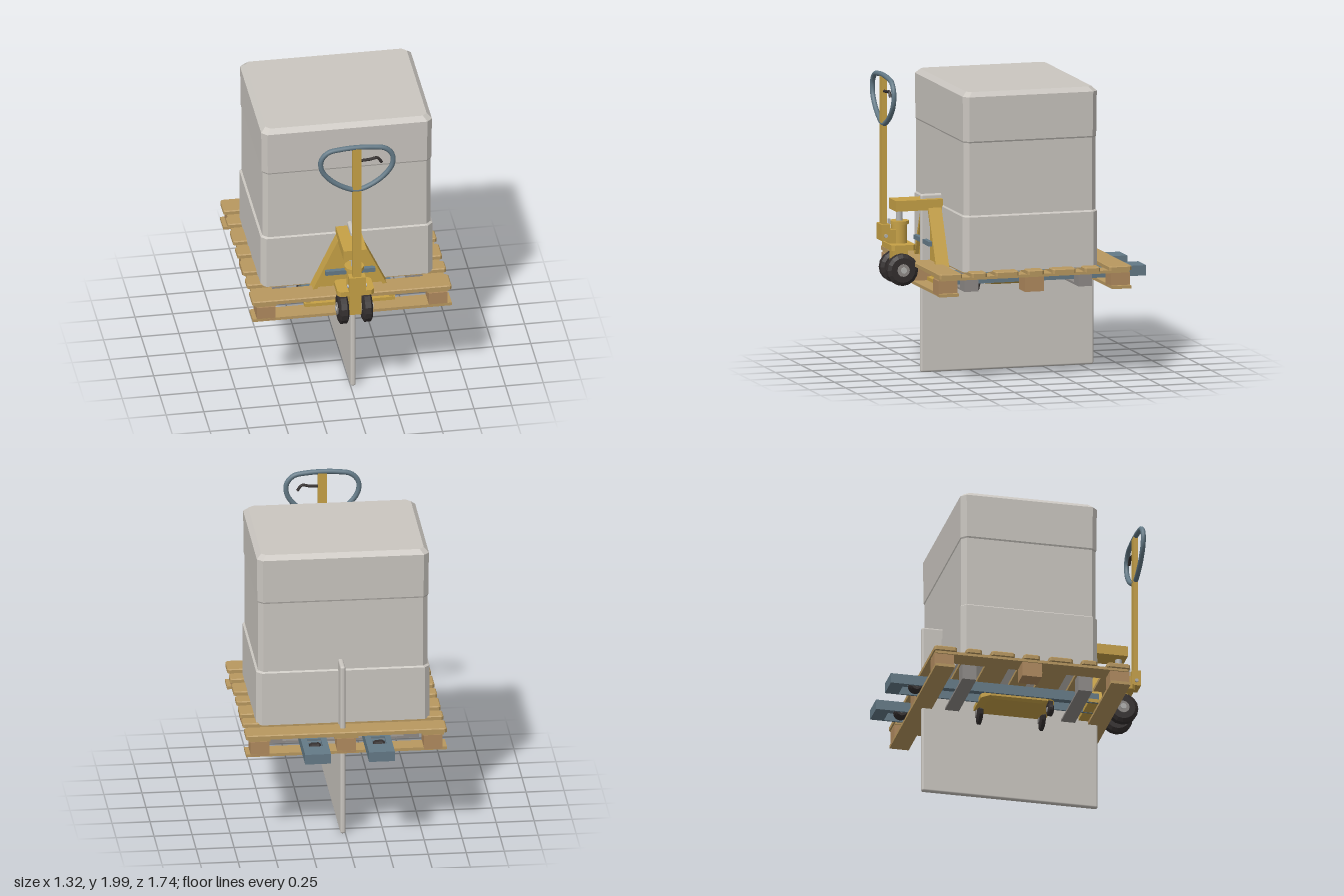
import * as THREE from 'three';
import { RoundedBoxGeometry } from 'three/addons/geometries/RoundedBoxGeometry.js';

const mat = (name, color, flatShading = false) => {
  const m = new THREE.MeshStandardMaterial({ color, flatShading });
  m.name = name;
  return m;
};

// Octagonal cross-sections [y, halfX, halfZ, chamfer] joined into a closed solid
function loft(sections) {
  const rings = sections.map(([y, x, z, c]) => [
    [x, y, z - c], [x, y, c - z], [x - c, y, -z], [c - x, y, -z],
    [-x, y, c - z], [-x, y, z - c], [c - x, y, z], [x - c, y, z]]);
  const p = [];
  const tri = (a, b, c) => p.push(...a, ...b, ...c);
  for (let k = 0; k < rings.length - 1; k++) {
    for (let i = 0; i < 8; i++) {
      const j = (i + 1) % 8, lo = rings[k], hi = rings[k + 1];
      tri(lo[i], lo[j], hi[j]);
      tri(lo[i], hi[j], hi[i]);
    }
  }
  const bottom = rings[0], top = rings[rings.length - 1];
  for (let i = 1; i < 7; i++) {
    tri(top[0], top[i], top[i + 1]);
    tri(bottom[0], bottom[i + 1], bottom[i]);
  }
  const g = new THREE.BufferGeometry();
  g.setAttribute('position', new THREE.Float32BufferAttribute(p, 3));
  g.computeVertexNormals();
  return g;
}

export function createModel() {
  const M = {
    carton: mat('pale grey', 0xcac6c0),
    wood: mat('pallet wood', 0xb8985f),
    block: mat('block wood', 0xb08a5e),
    yellow: mat('yellow paint', 0xc6a146),
    steel: mat('blue grey steel', 0x647a87),
    rubber: mat('black rubber', 0x332e2e, true),
    grey: mat('dark grey', 0x8f8b88),
    metal: mat('bright metal', 0xb4b4b2),
  };
  const root = new THREE.Group();
  const add = (name, geo, m, parent = root) => {
    const mesh = new THREE.Mesh(geo, m);
    mesh.name = name;
    parent.add(mesh);
    return mesh;
  };
  const group = (name) => {
    const g = new THREE.Group();
    g.name = name;
    root.add(g);
    return g;
  };
  // Box given by its limits on each axis
  const box = (name, m, x0, x1, y0, y1, z0, z1, parent) => {
    const mesh = add(name, new THREE.BoxGeometry(x1 - x0, y1 - y0, z1 - z0), m, parent);
    mesh.position.set((x0 + x1) / 2, (y0 + y1) / 2, (z0 + z1) / 2);
    return mesh;
  };
  const rod = (name, m, r, h, x, y, z, axis, parent, seg = 20) => {
    const g = new THREE.CylinderGeometry(r, r, h, seg);
    if (axis === 'x') g.rotateZ(Math.PI / 2);
    if (axis === 'z') g.rotateX(Math.PI / 2);
    const mesh = add(name, g, m, parent);
    mesh.position.set(x, y, z);
    return mesh;
  };
  // Wheel with bevelled tyre and a hub
  const wheel = (name, r, w, x, y, z, axis, parent) => {
    const pts = [[0, -w / 2], [r * 0.78, -w / 2], [r, -w * 0.3], [r, w * 0.3], [r * 0.78, w / 2], [0, w / 2]]
      .map(([a, b]) => new THREE.Vector2(a, b));
    const g = new THREE.LatheGeometry(pts, 16);
    if (axis === 'x') g.rotateZ(Math.PI / 2);
    else g.rotateX(Math.PI / 2);
    add(name, g, M.rubber, parent).position.set(x, y, z);
    rod(name + 'Hub', M.grey, r * 0.4, w + 0.012, x, y, z, axis, parent, 12);
  };

  // Large carton with slightly stepped walls
  add('carton', loft([
    [0.74, 0.57, 0.46, 0.035], [1.105, 0.57, 0.46, 0.035], [1.115, 0.557, 0.452, 0.033],
    [1.595, 0.557, 0.452, 0.033], [1.605, 0.562, 0.456, 0.035], [1.9, 0.566, 0.459, 0.035],
    [1.93, 0.535, 0.428, 0.03]]), M.carton);

  // Upright panel through the middle
  add('uprightPanel', new RoundedBoxGeometry(0.034, 1.18, 1.184, 3, 0.014), M.carton)
    .position.set(0.017, 0.595, 0);

  // Pallet: bevelled top boards, stringers, blocks and runners
  const pallet = group('pallet');
  const boards = [[-0.66, -0.508], [-0.445, -0.34], [-0.278, -0.12], [-0.06, 0.05],
    [0.112, 0.27], [0.33, 0.435], [0.5, 0.655]];
  for (const [z0, z1] of boards) {
    const h = (z1 - z0) / 2;
    add('topBoard', loft([[0.72, 0.66, h, 0.012], [0.744, 0.66, h, 0.012], [0.75, 0.654, h - 0.006, 0.01]]),
      M.wood, pallet).position.z = (z0 + z1) / 2;
  }
  for (const x of [-0.57, 0, 0.57]) {
    const w = x ? 0.07 : 0.08;
    box('stringer', M.wood, x - w, x + w, 0.703, 0.722, -0.65, 0.645, pallet);
    for (const z of [-0.59, 0, 0.59]) {
      if (x === 0 && z === 0) continue;
      box('block', M.block, x - 0.062, x + 0.062, 0.605, 0.704, z - 0.065, z + 0.065, pallet);
    }
  }
  for (const z of [-0.59, 0.59]) {
    box('bottomRunner', M.wood, -0.66, 0.66, 0.6, 0.62, z - 0.065, z + 0.065, pallet);
  }

  // Grey supports under the boards
  const supports = group('supports');
  for (const z of [-0.39, 0.39]) {
    box('supportPlate', M.grey, -0.5, 0.5, 0.602, 0.616, z - 0.047, z + 0.047, supports);
    for (const x of [-0.45, 0.45]) {
      box('supportBlock', M.grey, x - 0.05, x + 0.05, 0.604, 0.72, z - 0.047, z + 0.047, supports);
    }
  }

  // Forks: inverted channels with a roller slot
  for (const s of [-1, 1]) {
    const fork = group('fork');
    fork.position.x = s * 0.21;
    const shape = new THREE.Shape([[-0.085, -0.53], [0.085, -0.53], [0.085, 0.87], [-0.085, 0.87]]
      .map((p) => new THREE.Vector2(...p)));
    shape.holes.push(new THREE.Path([[-0.046, 0.6], [-0.046, 0.73], [0.046, 0.73], [0.046, 0.6]]
      .map((p) => new THREE.Vector2(...p))));
    const top = new THREE.ExtrudeGeometry(shape, { depth: 0.014, bevelEnabled: false });
    top.rotateX(-Math.PI / 2);
    add('forkTop', top, M.steel, fork).position.y = 0.674;
    for (const e of [-0.079, 0.079]) {
      box('forkSide', M.steel, e - 0.006, e + 0.006, 0.62, 0.676, -0.87, 0.53, fork);
    }
    box('forkTip', M.steel, -0.08, 0.08, 0.62, 0.676, -0.87, -0.78, fork);
    box('forkRollerMount', M.steel, -0.08, 0.08, 0.635, 0.66, -0.6, -0.57, fork);
    wheel('forkRoller', 0.045, 0.075, 0, 0.65, -0.685, 'x', fork);
  }

  // Yellow lower frame with small casters
  const frame = group('lowerFrame');
  add('framePlate', loft([[0.602, 0.24, 0.2, 0.05], [0.617, 0.26, 0.245, 0.05], [0.645, 0.26, 0.245, 0.05]]),
    M.yellow, frame);
  wheel('caster', 0.042, 0.036, -0.255, 0.556, 0.21, 'z', frame);
  box('casterFork', M.rubber, -0.28, -0.2, 0.575, 0.61, 0.195, 0.225, frame);
  wheel('caster', 0.078, 0.036, 0, 0.598, -0.21, 'z', frame);
  wheel('caster', 0.078, 0.036, 0, 0.598, 0.21, 'z', frame);

  // Tapered mast plate with raised edges
  const truck = group('truckBody');
  const mast = (name, pts, z0, z1) => {
    const g = new THREE.ExtrudeGeometry(new THREE.Shape(pts.map((p) => new THREE.Vector2(...p))),
      { depth: z1 - z0, bevelEnabled: false });
    add(name, g, M.yellow, truck).position.z = z0;
  };
  mast('mastPlate', [[-0.29, 0.63], [0.29, 0.63], [0.075, 1.1], [-0.075, 1.1]], 0.465, 0.53);
  for (const s of [-1, 1]) {
    const edge = [[s * 0.3, 0.63], [s * 0.08, 1.1], [s * 0.06, 1.1], [s * 0.27, 0.63]];
    mast('mastEdge', s > 0 ? edge : edge.reverse(), 0.465, 0.555);
  }
  box('mastFoot', M.yellow, -0.3, 0.3, 0.622, 0.645, 0.46, 0.56, truck);
  box('crossBar', M.steel, -0.165, 0.165, 0.86, 0.89, 0.55, 0.58, truck);
  box('topArm', M.yellow, -0.077, 0.077, 1.085, 1.155, 0.455, 0.775, truck);

  // Hydraulic pump
  const pump = group('pump');
  rod('pistonRod', M.metal, 0.022, 0.12, 0, 1.045, 0.73, 'y', pump);
  rod('pumpCylinder', M.yellow, 0.052, 0.17, 0, 0.93, 0.73, 'y', pump);
  rod('pumpCollar', M.yellow, 0.064, 0.022, 0, 1.005, 0.73, 'y', pump);
  add('pumpBase', loft([[0.832, 0.122, 0.083, 0.02], [0.868, 0.122, 0.083, 0.02]]), M.yellow, pump)
    .position.z = 0.732;
  box('axleMount', M.yellow, -0.038, 0.038, 0.67, 0.835, 0.68, 0.785, pump);
  rod('axle', M.metal, 0.02, 0.25, 0, 0.7, 0.735, 'x', pump);
  for (const s of [-1, 1]) wheel('steerWheel', 0.105, 0.066, s * 0.079, 0.7, 0.735, 'x', pump);

  // Steering handle with loop grip and lever
  const handle = group('handle');
  box('handleMount', M.yellow, -0.055, 0.055, 0.892, 1.0, 0.808, 0.868, handle);
  box('mountLink', M.yellow, -0.04, 0.04, 0.87, 0.96, 0.75, 0.81, handle);
  rod('mountPin', M.metal, 0.012, 0.13, 0, 0.925, 0.838, 'x', handle);
  box('mountLever', M.metal, -0.012, 0.012, 0.95, 1.03, 0.793, 0.807, handle);
  box('handlePost', M.yellow, -0.029, 0.029, 0.98, 1.975, 0.824, 0.855, handle);
  const half = [[0.1, 1.978], [0.19, 1.96], [0.236, 1.905], [0.233, 1.83], [0.18, 1.755], [0.09, 1.69]];
  const loop = [...half, [0, 1.66], ...half.slice().reverse().map(([x, y]) => [-x, y]), [0, 1.983]]
    .map(([x, y]) => new THREE.Vector3(x, y, 0.84));
  add('gripLoop', new THREE.TubeGeometry(new THREE.CatmullRomCurve3(loop, true), 64, 0.017, 10, true),
    M.steel, handle);
  const lever = [[0.02, 1.88], [0.09, 1.885], [0.135, 1.892], [0.165, 1.855]]
    .map(([x, y]) => new THREE.Vector3(x, y, 0.84));
  add('releaseLever', new THREE.TubeGeometry(new THREE.CatmullRomCurve3(lever), 16, 0.01, 8), M.rubber, handle);

  return root;
}
